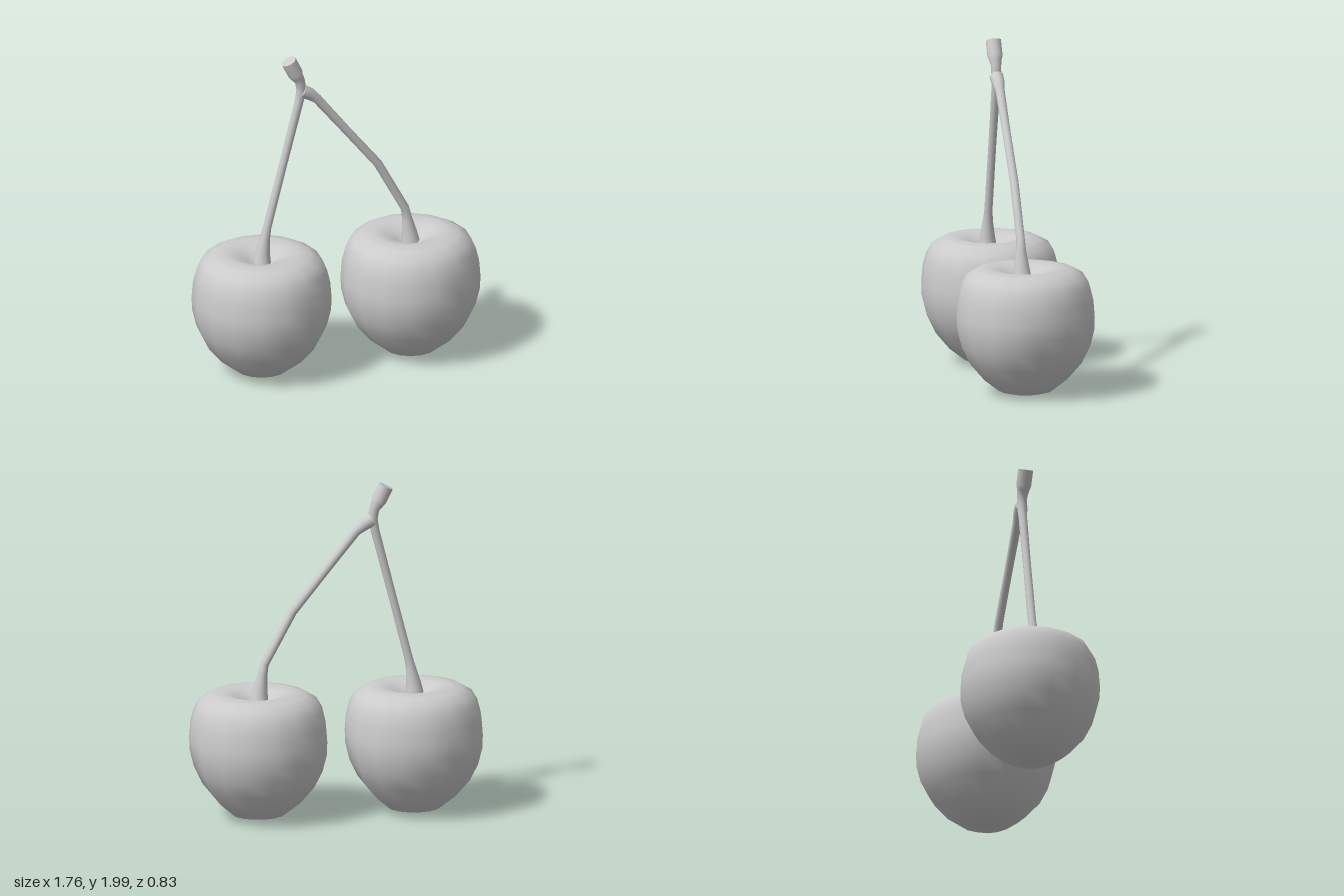
import * as THREE from 'three';
import { mergeVertices } from 'three/addons/utils/BufferGeometryUtils.js';

const material = new THREE.MeshStandardMaterial({ color: 0xcccccc });

// Round tube through rings of [x, y, radius], closed with flat ends.
function stemGeometry(rings, sides = 12) {
  const pos = [], idx = [];
  const points = rings.map(([x, y]) => new THREE.Vector2(x, y));
  const addRing = (i) => {
    const a = points[Math.max(i - 1, 0)], b = points[Math.min(i + 1, points.length - 1)];
    const t = b.clone().sub(a).normalize();
    const [x, y, r] = rings[i];
    const start = pos.length / 3;
    for (let j = 0; j < sides; j++) {
      const c = r * Math.cos((j / sides) * 2 * Math.PI);
      const s = r * Math.sin((j / sides) * 2 * Math.PI);
      pos.push(x + t.y * c, y - t.x * c, -s);
    }
    return start;
  };
  rings.forEach((_, i) => addRing(i));
  for (let i = 0; i < rings.length - 1; i++) {
    for (let j = 0; j < sides; j++) {
      const a = i * sides + j, b = i * sides + ((j + 1) % sides);
      idx.push(a, b, a + sides, b, b + sides, a + sides);
    }
  }
  // End discs use their own vertices so the rims stay sharp
  for (const end of [0, rings.length - 1]) {
    const s = addRing(end);
    for (let j = 1; j < sides - 1; j++) {
      if (end === 0) idx.push(s, s + j + 1, s + j);
      else idx.push(s, s + j, s + j + 1);
    }
  }
  const g = new THREE.BufferGeometry();
  g.setAttribute('position', new THREE.Float32BufferAttribute(pos, 3));
  g.setIndex(idx);
  g.computeVertexNormals();
  return g;
}

// Sixteen-sided fruit with a stem dimple and a shallow seam on its +x side.
function fruitGeometry() {
  const profile = [
    [0, 0.008], [0.07, 0.008], [0.16, 0.03], [0.25, 0.1], [0.335, 0.2], [0.385, 0.3],
    [0.41, 0.4], [0.413, 0.48], [0.405, 0.58], [0.385, 0.66], [0.35, 0.72], [0.29, 0.755],
    [0.22, 0.768], [0.15, 0.752], [0.09, 0.72], [0.05, 0.695], [0, 0.69],
  ].map(([r, y]) => new THREE.Vector2(r, y));
  let g = new THREE.LatheGeometry(profile, 16);
  g.deleteAttribute('uv');
  g.deleteAttribute('normal');
  g = mergeVertices(g, 1e-4);
  const p = g.attributes.position;
  for (let i = 0; i < p.count; i++) {
    const x = p.getX(i), y = p.getY(i);
    if (x > 0.1 && Math.abs(p.getZ(i)) < 0.001 && y < 0.5) {
      p.setX(i, x - 0.028 * Math.sin(Math.PI * (0.5 - y) / 0.5));
    }
  }
  g.computeVertexNormals();
  return g;
}

export function createModel() {
  const group = new THREE.Group();
  const add = (name, geometry, x, z) => {
    const mesh = new THREE.Mesh(geometry, material);
    mesh.name = name;
    mesh.position.set(x, 0, z);
    group.add(mesh);
    return mesh;
  };

  // The two fruits
  const fruit = fruitGeometry();
  for (const [name, x] of [['rightCherry', -0.468], ['leftCherry', 0.466]]) {
    add(name, fruit, x, 0).rotation.y = 0.04;
  }

  // Main stem, rising into the woody tip
  add('mainStem', stemGeometry([
    [-0.474, 0.715, 0.056], [-0.47, 0.77, 0.046], [-0.455, 0.86, 0.031], [-0.44, 0.93, 0.025],
    [-0.335, 1.34, 0.024], [-0.24, 1.71, 0.026], [-0.225, 1.78, 0.03], [-0.234, 1.84, 0.031],
    [-0.252, 1.872, 0.038], [-0.263, 1.895, 0.046], [-0.305, 1.979, 0.046],
  ]), 0, 0.02);

  // Side stem, bending down from the fork
  add('sideStem', stemGeometry([
    [0.458, 0.715, 0.056], [0.452, 0.77, 0.046], [0.438, 0.86, 0.031], [0.424, 0.93, 0.026],
    [0.255, 1.24, 0.026], [0.06, 1.48, 0.025], [-0.125, 1.71, 0.028], [-0.175, 1.752, 0.038],
    [-0.222, 1.778, 0.042],
  ]), 0, 0.02);

  return group;
}
